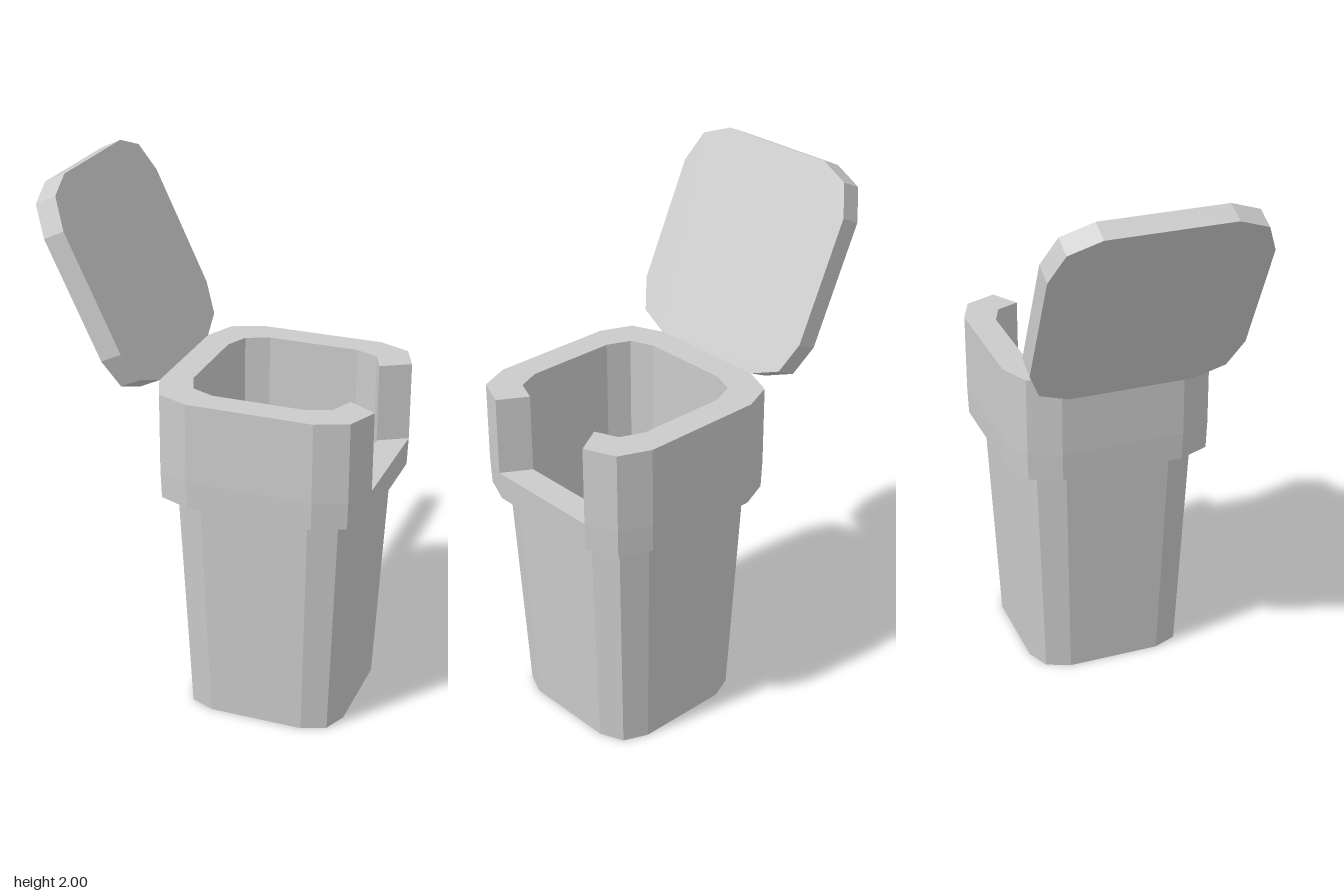
import * as THREE from 'three';

const CENTRE_X = 0.2075;   // axis of the bin; the open lid leans out to -x
const RIM_Y = 1.285;
const NOTCH_Y = 0.99;
const OUTER = 0.3975;
const INNER = 0.2925;

// Square outline with two-facet corners, counter-clockwise.
// It starts and ends at the +x side, so its closing segment is that side.
function outline(half) {
  const a = 0.585, m = 0.878, pts = [];
  for (let q = 0; q < 4; q++) {
    for (const [x, y] of [[1, a], [m, m], [a, 1]]) {
      const p = new THREE.Vector2(x * half, y * half);
      // exact quarter turns
      for (let k = 0; k < q; k++) p.set(-p.y, p.x);
      pts.push(p);
    }
  }
  return pts;
}

// Skin over outlines stacked along a [half width, height] profile.
function loft(profile) {
  const pos = [];
  const rings = profile.map(([h, y]) => outline(h).map(p => [p.x, y, -p.y]));
  for (let r = 0; r < rings.length - 1; r++) {
    for (let i = 0; i < 12; i++) {
      const j = (i + 1) % 12;
      const a = rings[r][i], b = rings[r][j], c = rings[r + 1][j], d = rings[r + 1][i];
      if (profile[r][0] > 0) pos.push(...a, ...b, ...c);
      if (profile[r + 1][0] > 0) pos.push(...a, ...c, ...d);
    }
  }
  const g = new THREE.BufferGeometry();
  g.setAttribute('position', new THREE.Float32BufferAttribute(pos, 3));
  g.computeVertexNormals();
  return g;
}

// Flat plate of a given outline, standing on y = 0.
function plate(points, height) {
  const g = new THREE.ExtrudeGeometry(new THREE.Shape(points), { depth: height, bevelEnabled: false });
  return g.rotateX(-Math.PI / 2);
}

export function createModel() {
  const group = new THREE.Group();
  const material = new THREE.MeshStandardMaterial({ color: 0xcccccc, flatShading: true });
  const add = (name, geometry, x, y) => {
    const mesh = new THREE.Mesh(geometry, material);
    mesh.name = name;
    mesh.position.set(x, y, 0);
    group.add(mesh);
    return mesh;
  };

  // Tapered hollow body with the lower band of the collar
  add('body', loft([
    [0, 0], [0.303, 0], [0.343, 0.885], [0.394, 0.885], [OUTER, NOTCH_Y],
    [INNER, NOTCH_Y], [INNER, 0.04], [0, 0.04],
  ]), CENTRE_X, 0);

  // Upper collar, open on the +x side
  const collar = [...outline(OUTER), ...outline(INNER).reverse()];
  add('collar', plate(collar, RIM_Y - NOTCH_Y), CENTRE_X, NOTCH_Y);

  // Lid, swung open about the rim's -x edge
  const lidGeometry = plate(outline(OUTER), 0.083).translate(OUTER, 0, 0);
  const lid = add('lid', lidGeometry, CENTRE_X - OUTER, RIM_Y);
  lid.rotation.z = THREE.MathUtils.degToRad(115.4);

  return group;
}
